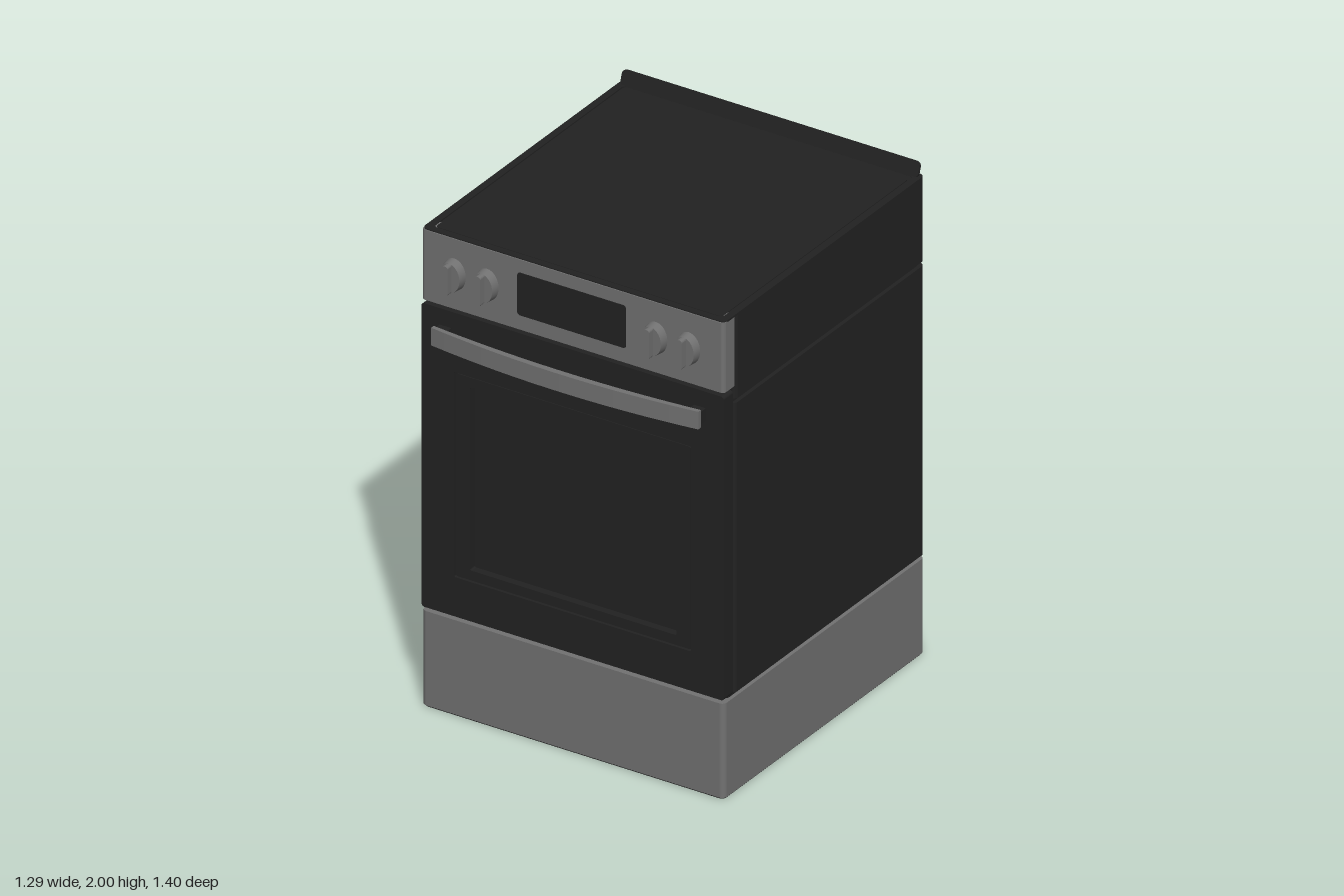
import * as THREE from 'three';

const black = new THREE.MeshStandardMaterial({ name: 'black enamel', color: 0x222222 });
const steel = new THREE.MeshStandardMaterial({ name: 'brushed steel', color: 0x727272 });

// Rounded rectangle outline, as a Shape or as a Path for holes
function roundedRect(x0, y0, x1, y1, r, Type = THREE.Shape) {
  const s = new Type();
  s.moveTo(x0 + r, y0);
  s.lineTo(x1 - r, y0);
  s.absarc(x1 - r, y0 + r, r, -Math.PI / 2, 0);
  s.lineTo(x1, y1 - r);
  s.absarc(x1 - r, y1 - r, r, 0, Math.PI / 2);
  s.lineTo(x0 + r, y1);
  s.absarc(x0 + r, y1 - r, r, Math.PI / 2, Math.PI);
  s.lineTo(x0, y0 + r);
  s.absarc(x0 + r, y0 + r, r, Math.PI, Math.PI * 1.5);
  return s;
}

function extrude(shape, depth) {
  return new THREE.ExtrudeGeometry(shape, { depth, bevelEnabled: false, curveSegments: 5 });
}

export function createModel() {
  const model = new THREE.Group();
  model.name = 'cooker';

  const add = (name, geometry, material, x = 0, y = 0, z = 0, parent = model) => {
    const mesh = new THREE.Mesh(geometry, material);
    mesh.name = name;
    mesh.position.set(x, y, z);
    parent.add(mesh);
    return mesh;
  };

  // Upright block with rounded vertical edges; hole is an optional inset
  const slab = (name, material, halfW, y0, y1, zBack, zFront, r = 0.02, hole) => {
    const shape = roundedRect(-halfW, -zFront, halfW, -zBack, r);
    if (hole) shape.holes.push(roundedRect(-halfW + hole, -zFront + hole, halfW - hole, -zBack - hole, r, THREE.Path));
    return add(name, extrude(shape, y1 - y0).rotateX(-Math.PI / 2), material, 0, y0, 0);
  };

  // Plate facing the front, with an optional cut-out [x0, y0, x1, y1]
  const plate = (name, material, [x0, y0, x1, y1], z0, z1, r, hole) => {
    const shape = roundedRect(x0, y0, x1, y1, r);
    if (hole) shape.holes.push(roundedRect(...hole, 0.006, THREE.Path));
    return add(name, extrude(shape, z1 - z0), material, 0, 0, z0);
  };

  // Cabinet stack, with a recessed core that leaves dark seams
  slab('bottomPlate', black, 0.64, 0, 0.006, -0.695, 0.605);
  slab('plinth', steel, 0.645, 0.006, 0.39, -0.70, 0.61);
  slab('core', black, 0.63, 0.38, 1.93, -0.685, 0.57);
  slab('ovenBody', black, 0.645, 0.405, 1.583, -0.70, 0.54);
  slab('upperBody', black, 0.645, 1.6, 1.938, -0.70, 0.535);

  // Hob with a slightly raised rim
  slab('hobPlate', black, 0.64, 1.936, 1.94, -0.695, 0.60);
  slab('hobRim', black, 0.645, 1.938, 1.946, -0.70, 0.606, 0.02, 0.028);
  slab('hobGlass', black, 0.61, 1.938, 1.944, -0.648, 0.572, 0.015);

  // Leaning rear lip
  const lip = plate('rearLip', black, [-0.635, 0, 0.635, 0.061], -0.005, 0.005, 0.018);
  lip.position.set(0, 1.94, -0.677);
  lip.rotation.x = -0.32;

  // Oven door: frame, stepped surround and recessed window
  plate('doorFrame', black, [-0.645, 0.405, 0.645, 1.642], 0.55, 0.61, 0.012, [-0.505, 0.565, 0.505, 1.4]);
  plate('windowSurround', black, [-0.5, 0.57, 0.5, 1.395], 0.56, 0.606, 0.006, [-0.44, 0.61, 0.44, 1.355]);
  plate('windowGlass', black, [-0.45, 0.6, 0.45, 1.365], 0.565, 0.576, 0.004);

  // Bowed door handle with two mounts
  const bow = new THREE.Shape();
  bow.moveTo(-0.57, -0.662);
  bow.quadraticCurveTo(0, -0.738, 0.57, -0.662);
  bow.lineTo(0.57, -0.645);
  bow.quadraticCurveTo(0, -0.706, -0.57, -0.645);
  const bar = new THREE.ExtrudeGeometry(bow, { depth: 0.072, bevelEnabled: false, curveSegments: 20 });
  add('handleBar', bar.rotateX(-Math.PI / 2), steel, 0, 1.513, 0);
  for (const side of [-1, 1]) {
    add('handleMount', new THREE.BoxGeometry(0.05, 0.05, 0.052), black, side * 0.543, 1.55, 0.63);
  }

  // Control panel and display
  slab('controlPanel', steel, 0.645, 1.657, 1.942, 0.53, 0.61, 0.015);
  plate('display', black, [-0.235, 1.717, 0.228, 1.89], 0.607, 0.613, 0.012);

  // Oval knobs with upright grips
  for (const x of [-0.505, -0.365, 0.355, 0.495]) {
    const knob = new THREE.Group();
    knob.name = 'knob';
    knob.position.set(x, 1.799, 0.61);
    const dial = new THREE.CylinderGeometry(0.92, 1, 0.036, 28).rotateX(Math.PI / 2).scale(0.049, 0.064, 1);
    add('knobDial', dial, steel, 0, 0, 0.018, knob);
    add('knobGrip', extrude(roundedRect(-0.012, -0.06, 0.012, 0.06, 0.01), 0.03), steel, 0, 0, 0.034, knob);
    model.add(knob);
  }

  return model;
}
